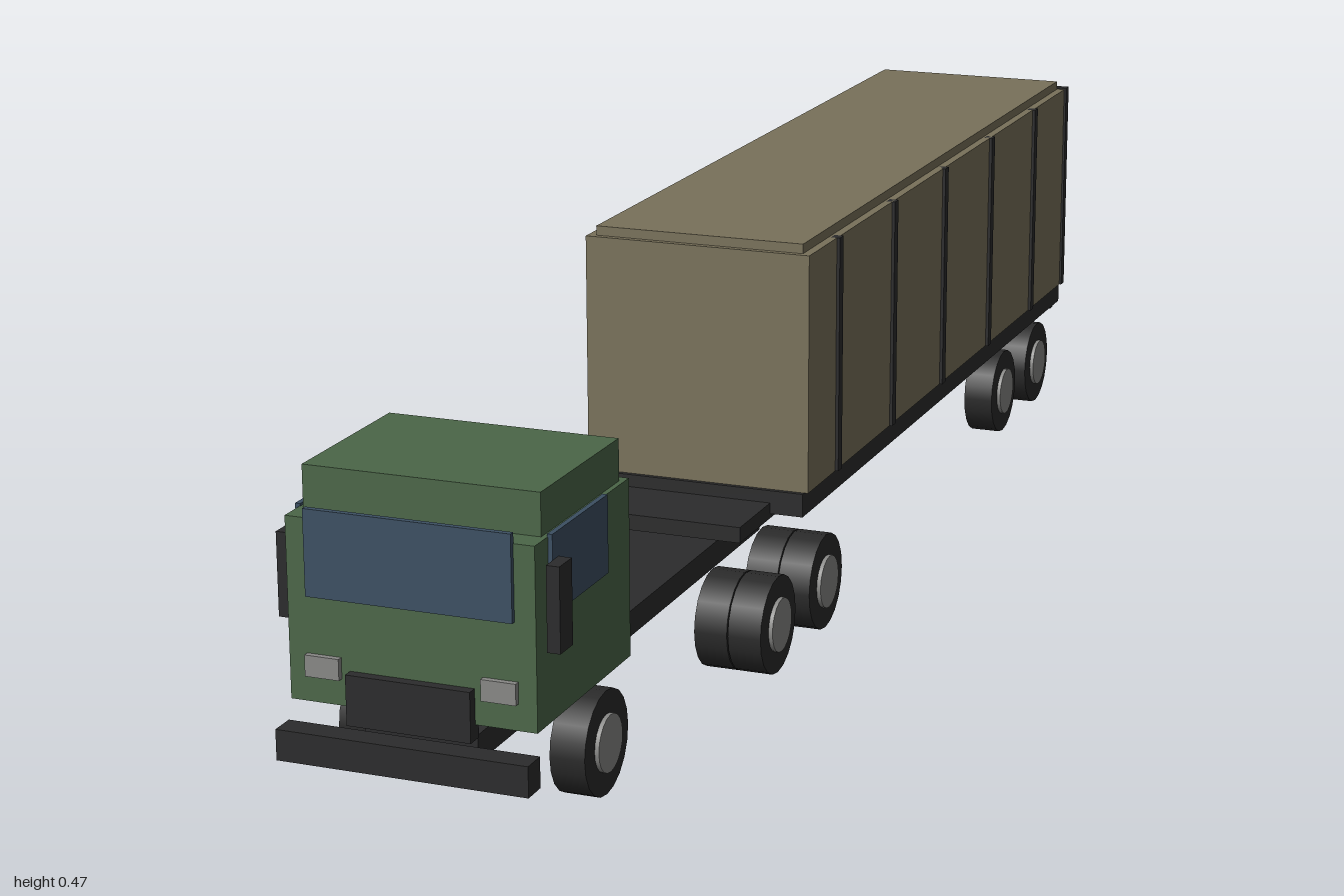
import * as THREE from 'three';

const mat = (name, color) => {
  const m = new THREE.MeshStandardMaterial({ color });
  m.name = name;
  return m;
};

export function createModel() {
  const green = mat('cab green', 0x4b6648);
  const tan = mat('cargo tan', 0x78715a);
  const dark = mat('chassis black', 0x2b2b2c);
  const rubber = mat('tyre rubber', 0x2a2a2a);
  const glass = mat('window glass', 0x3c4f62);
  const metal = mat('light metal', 0x878785);

  const truck = new THREE.Group();
  truck.name = 'articulatedTruck';
  const section = (name) => {
    const g = new THREE.Group();
    g.name = name;
    truck.add(g);
    return g;
  };

  // Box given by its lower and upper limits on each axis
  const box = (parent, name, m, [x0, x1], [y0, y1], [z0, z1]) => {
    const mesh = new THREE.Mesh(new THREE.BoxGeometry(x1 - x0, y1 - y0, z1 - z0), m);
    mesh.position.set((x0 + x1) / 2, (y0 + y1) / 2, (z0 + z1) / 2);
    mesh.name = name;
    parent.add(mesh);
  };
  const wide = (w) => [-w, w];
  const sideSpan = (s, a, b) => (s > 0 ? [a, b] : [-b, -a]);

  // Cab with stepped roof
  const cab = section('cab');
  box(cab, 'cabBody', green, wide(0.143), [0.133, 0.337], [0.72, 0.968]);
  box(cab, 'cabRoof', green, wide(0.137), [0.337, 0.385], [0.733, 0.938]);
  box(cab, 'windshield', glass, wide(0.119), [0.252, 0.349], [0.967, 0.974]);
  box(cab, 'grille', dark, wide(0.072), [0.116, 0.173], [0.96, 0.98]);
  box(cab, 'frontBumper', dark, wide(0.146), [0.074, 0.109], [0.97, 1]);
  for (const s of [1, -1]) {
    box(cab, 'sideWindow', glass, sideSpan(s, 0.142, 0.148), [0.252, 0.34], [0.79, 0.935]);
    box(cab, 'mirror', dark, sideSpan(s, 0.148, 0.163), [0.217, 0.312], [0.92, 0.952]);
    box(cab, 'headlight', metal, sideSpan(s, 0.082, 0.122), [0.163, 0.187], [0.967, 0.975]);
  }

  // Tractor frame and coupling plate
  const frame = section('tractorFrame');
  box(frame, 'frameRail', dark, wide(0.066), [0.083, 0.114], [0.115, 0.95]);
  box(frame, 'couplingPlate', dark, wide(0.1), [0.118, 0.138], [0.12, 0.273]);

  // Trailer with cargo box, posts and rear door
  const trailer = section('trailer');
  box(trailer, 'trailerDeck', dark, wide(0.143), [0.124, 0.154], [-0.985, 0.168]);
  box(trailer, 'cargoBox', tan, wide(0.148), [0.154, 0.457], [-0.974, 0.162]);
  box(trailer, 'cargoRoof', tan, wide(0.137), [0.457, 0.469], [-0.968, 0.154]);
  box(trailer, 'rearFrame', dark, wide(0.151), [0.154, 0.459], [-0.984, -0.97]);
  box(trailer, 'rearDoor', tan, wide(0.143), [0.158, 0.455], [-0.991, -0.98]);
  box(trailer, 'rearBumper', dark, wide(0.13), [0.11, 0.146], [-1, -0.984]);
  for (let i = 0; i < 5; i++) {
    const z = 0.054 - i * 0.2155;
    for (const s of [1, -1]) {
      box(trailer, 'sidePost', dark, sideSpan(s, 0.14, 0.152), [0.154, 0.457], [z - 0.007, z + 0.007]);
    }
  }

  // Wheels: single on the front and trailer axles, twin on the drive axles
  const tyreGeo = new THREE.CylinderGeometry(0.06, 0.06, 0.041, 20).rotateZ(Math.PI / 2);
  const hubGeo = new THREE.CylinderGeometry(0.033, 0.033, 0.012, 20).rotateZ(Math.PI / 2);
  const wheels = section('wheels');
  const put = (geo, m, name, x, z) => {
    const mesh = new THREE.Mesh(geo, m);
    mesh.position.set(x, 0.06, z);
    mesh.name = name;
    wheels.add(mesh);
  };
  const axles = [[0.797, 1], [0.378, 2], [0.21, 2], [-0.686, 1], [-0.856, 1]];
  for (const [z, count] of axles) {
    for (const s of [1, -1]) {
      let x = 0;
      for (let k = 0; k < count; k++) {
        x = 0.126 + k * 0.0425;
        put(tyreGeo, rubber, 'tyre', s * x, z);
      }
      put(hubGeo, metal, 'hub', s * (x + 0.0195), z);
    }
  }
  return truck;
}
